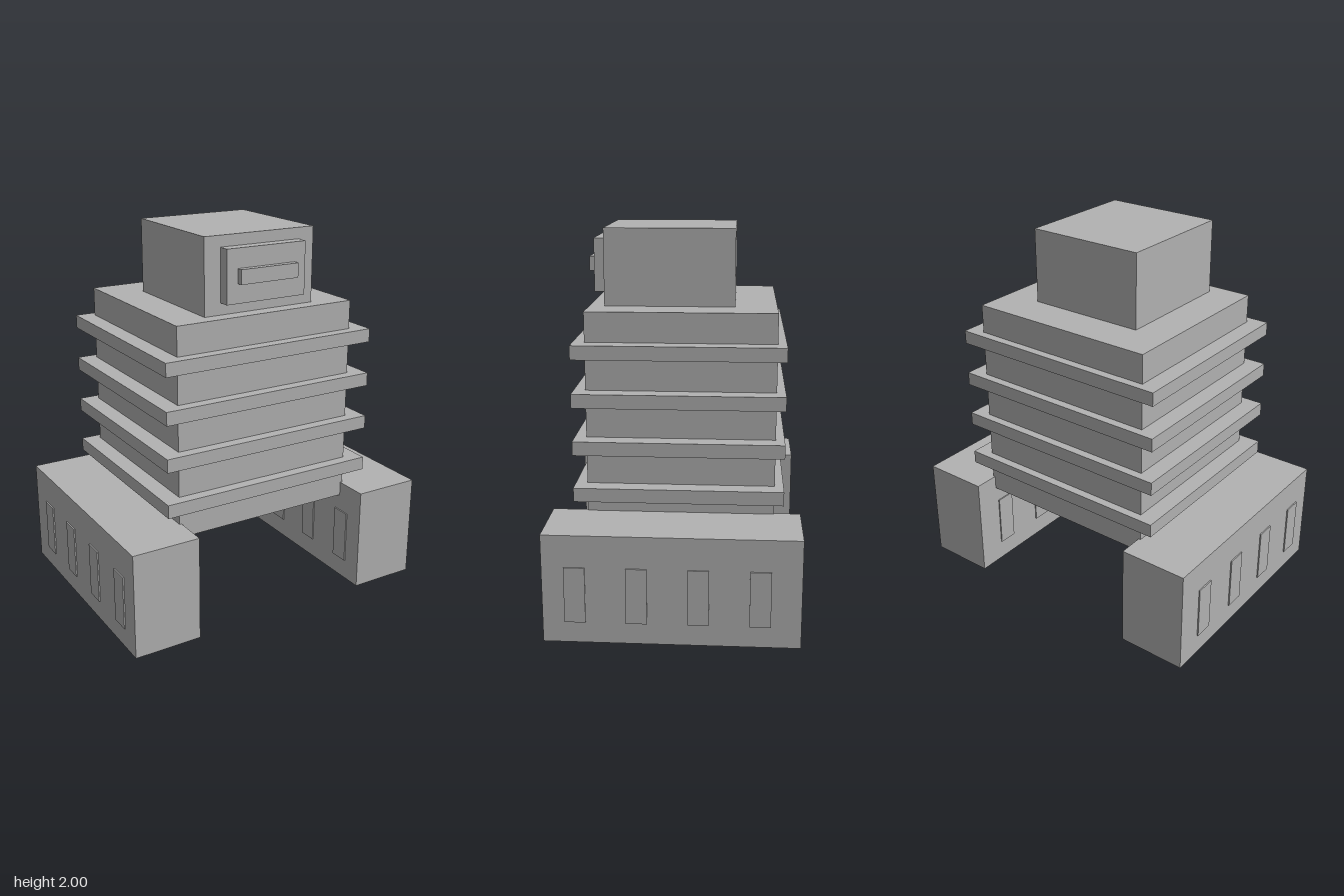
import * as THREE from 'three';

export function createModel() {
  const model = new THREE.Group();
  model.name = 'blockRobot';

  const grey = new THREE.MeshStandardMaterial({ color: 0xb2b2b2 });
  grey.name = 'plain grey';

  // Box given by its extents along each axis
  function block(name, [x0, x1], [y0, y1], [z0, z1], parent = model) {
    const mesh = new THREE.Mesh(new THREE.BoxGeometry(x1 - x0, y1 - y0, z1 - z0), grey);
    mesh.position.set((x0 + x1) / 2, (y0 + y1) / 2, (z0 + z1) / 2);
    mesh.name = name;
    parent.add(mesh);
    return mesh;
  }

  // Torso with four projecting bands
  block('torso', [-0.517, 0.517], [0.49, 1.605], [-0.505, 0.457]);
  for (let i = 0; i < 4; i++) {
    const y = 0.645 + i * 0.245;
    block('torsoBand', [-0.61, 0.61], [y, y + 0.072], [-0.55, 0.516]);
  }

  // Head with stepped face plate
  block('head', [-0.32, 0.32], [1.605, 2], [-0.29, 0.38]);
  block('facePlate', [-0.23, 0.23], [1.667, 1.942], [0.38, 0.442]);
  block('visor', [-0.167, 0.167], [1.767, 1.842], [0.442, 0.475]);

  // Long feet with four thin panels on both long sides
  const inner = 0.505, outer = 0.871, raise = 0.007;
  for (const side of [-1, 1]) {
    const foot = new THREE.Group();
    foot.name = side > 0 ? 'leftFoot' : 'rightFoot';
    model.add(foot);
    const span = (a, b) => (side > 0 ? [a, b] : [-b, -a]);
    block('footBlock', span(inner, outer), [0, 0.566], [-0.64, 0.64], foot);
    for (let i = 0; i < 4; i++) {
      const z = -0.49 + i * 0.305;
      block('outerPanel', span(outer, outer + raise), [0.11, 0.4], [z, z + 0.105], foot);
      block('innerPanel', span(inner - raise, inner), [0.11, 0.4], [z, z + 0.105], foot);
    }
  }

  return model;
}
